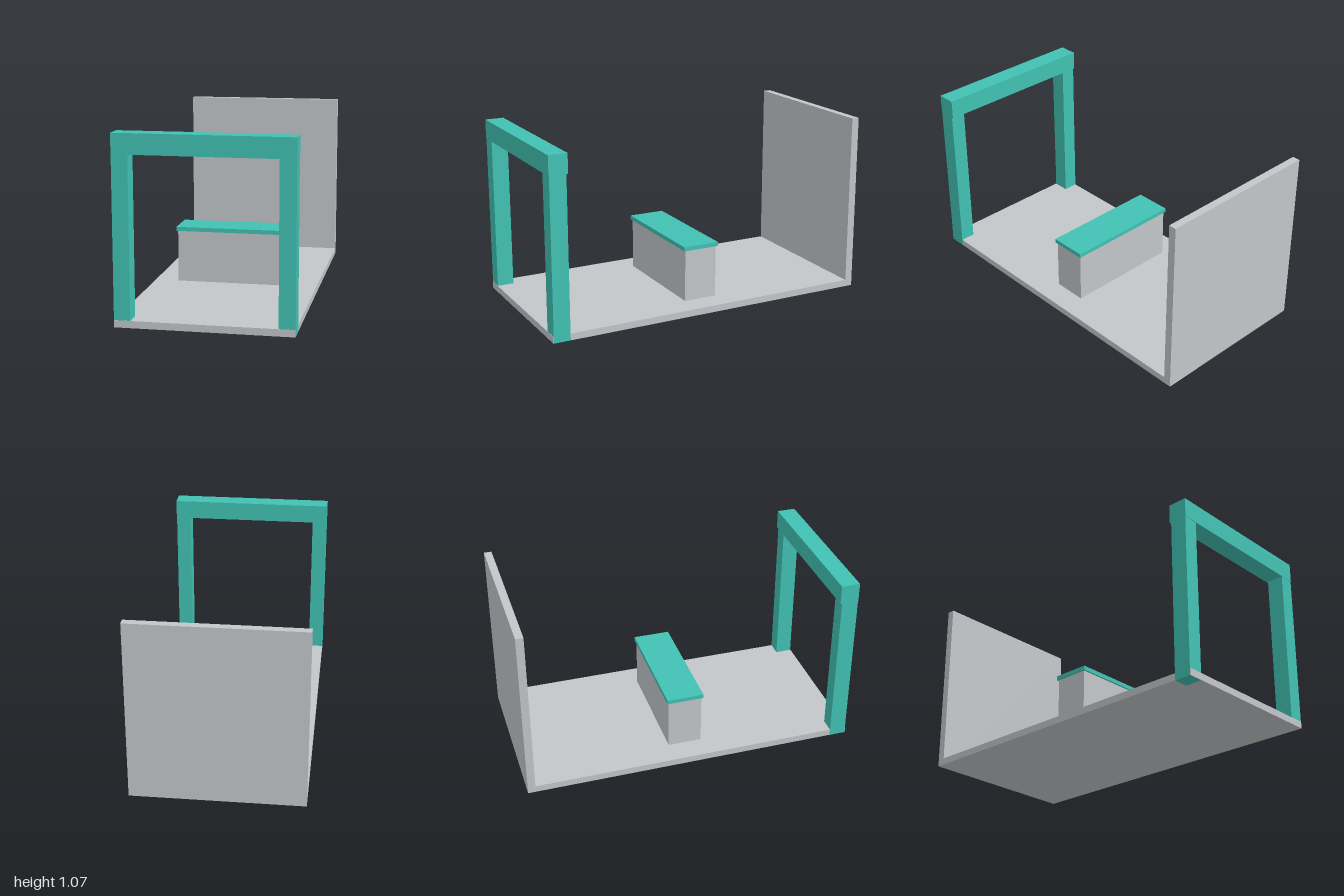
import * as THREE from 'three';

export function createModel() {
  const grey = new THREE.MeshStandardMaterial({ color: 0xc2c6c9 });
  grey.name = 'light grey';
  const teal = new THREE.MeshStandardMaterial({ color: 0x41c1b3 });
  teal.name = 'teal';

  const model = new THREE.Group();
  model.name = 'benchBay';

  // Box given by its extents along each axis
  function box(name, material, [x0, x1], [y0, y1], [z0, z1]) {
    const mesh = new THREE.Mesh(new THREE.BoxGeometry(x1 - x0, y1 - y0, z1 - z0), material);
    mesh.position.set((x0 + x1) / 2, (y0 + y1) / 2, (z0 + z1) / 2);
    mesh.name = name;
    model.add(mesh);
  }

  const halfWidth = 0.498, height = 1.067, floorTop = 0.041, beamBottom = 0.952;
  const across = [-halfWidth, halfWidth];

  // Floor slab and back wall
  box('floor', grey, across, [0.0005, floorTop], [-0.954, 1]);
  box('backWall', grey, across, [0.0005, height], [-1, -0.954]);

  // Front gateway: posts run down past the slab edge, just proud of its sides
  const outer = halfWidth + 0.0007;
  box('rightPost', teal, [-outer, -0.407], [0, beamBottom], [0.898, 0.998]);
  box('leftPost', teal, [0.407, outer], [0.001, beamBottom], [0.898, 0.998]);
  box('topBeam', teal, [-outer, outer], [beamBottom, height], [0.888, 1]);

  // Bench in the middle
  box('benchBase', grey, [-0.354, 0.354], [floorTop, 0.355], [-0.102, 0.102]);
  box('benchTop', teal, [-0.363, 0.363], [0.355, 0.38], [-0.112, 0.112]);

  return model;
}
